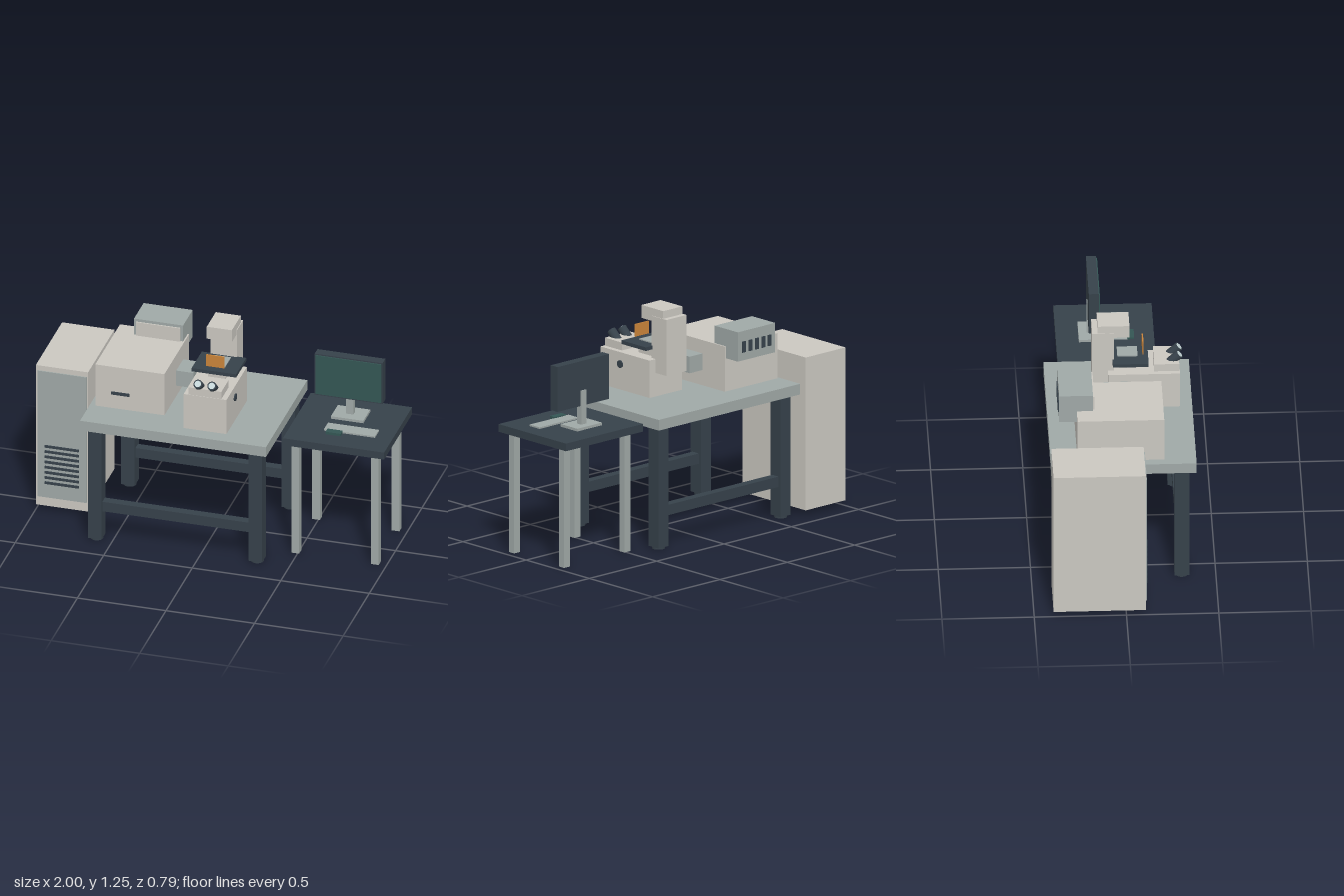
import * as THREE from 'three';

const mat = (name, color) => {
  const m = new THREE.MeshStandardMaterial({ color });
  m.name = name;
  return m;
};

export function createModel() {
  const model = new THREE.Group();
  model.name = 'microscopeWorkstation';
  const beige = mat('beige casing', 0xcac7c0);
  const grey = mat('grey metal', 0x9fa8a6);
  const dark = mat('dark slate', 0x36414a);
  const green = mat('dark green', 0x345654);
  const orange = mat('amber shield', 0xc9843a);
  const glass = mat('pale lens', 0xc6d6d8);

  const group = (name) => {
    const g = new THREE.Group();
    g.name = name;
    model.add(g);
    return g;
  };
  // Box given by its limits along each axis
  const box = (parent, name, m, [x0, x1], [y0, y1], [z0, z1]) => {
    const mesh = new THREE.Mesh(new THREE.BoxGeometry(x1 - x0, y1 - y0, z1 - z0), m);
    mesh.position.set((x0 + x1) / 2, (y0 + y1) / 2, (z0 + z1) / 2);
    mesh.name = name;
    parent.add(mesh);
    return mesh;
  };
  const cylinder = (parent, name, m, r, h, x, y, z) => {
    const mesh = new THREE.Mesh(new THREE.CylinderGeometry(r, r, h, 24), m);
    mesh.position.set(x, y, z);
    mesh.name = name;
    parent.add(mesh);
    return mesh;
  };

  // Tall cabinet with vented door
  const cabinet = group('cabinet');
  box(cabinet, 'cabinetBody', beige, [-1, -0.705], [0.03, 0.89], [-0.395, 0.105]);
  box(cabinet, 'cabinetDoor', grey, [-0.99, -0.712], [0.085, 0.86], [0.105, 0.111]);
  for (let i = 0; i < 8; i++) {
    const y = 0.17 + i * 0.032;
    box(cabinet, 'cabinetVent', dark, [-0.947, -0.755], [y, y + 0.014], [0.111, 0.117]);
  }

  // Heavy bench
  const bench = group('bench');
  box(bench, 'benchTop', grey, [-0.665, 0.385], [0.69, 0.75], [-0.394, 0.394]);
  for (const z of [-0.315, 0.315]) {
    for (const x of [-0.593, 0.313]) {
      box(bench, 'benchLeg', dark, [x - 0.038, x + 0.038], [0.012, 0.69], [z - 0.04, z + 0.04]);
      cylinder(bench, 'benchFoot', dark, 0.036, 0.012, x, 0.006, z);
    }
    box(bench, 'benchRail', dark, [-0.555, 0.275], [0.18, 0.238], [z - 0.025, z + 0.025]);
  }

  // Side table
  const table = group('sideTable');
  box(table, 'tableTop', dark, [0.428, 1], [0.677, 0.72], [-0.315, 0.218]);
  for (const x of [0.487, 0.936]) {
    for (const z of [0.16, -0.235]) {
      box(table, 'tableLeg', grey, [x - 0.022, x + 0.022], [0, 0.677], [z - 0.021, z + 0.021]);
    }
  }

  // Instrument housing and rear unit
  const scanner = group('scanUnit');
  box(scanner, 'scanHousing', beige, [-0.63, -0.24], [0.758, 1.012], [-0.25, 0.22]);
  box(scanner, 'scanSlot', dark, [-0.54, -0.438], [0.842, 0.86], [0.22, 0.224]);
  box(scanner, 'detectorBox', grey, [-0.525, -0.248], [0.945, 1.11], [-0.345, -0.162]);
  box(scanner, 'detectorFront', beige, [-0.512, -0.263], [0.96, 1.094], [-0.162, -0.154]);
  for (let i = 0; i < 5; i++) {
    const x = -0.482 + i * 0.048;
    box(scanner, 'detectorVent', dark, [x - 0.012, x + 0.012], [0.99, 1.052], [-0.351, -0.345]);
  }
  box(scanner, 'opticalCoupler', grey, [-0.226, -0.13], [0.85, 0.943], [-0.09, 0.042]);

  // Microscope body, stage and illumination arm
  const scope = group('microscope');
  box(scope, 'scopeBase', beige, [-0.1, 0.142], [0.758, 0.968], [-0.062, 0.327]);
  box(scope, 'eyepieceBlock', beige, [-0.072, 0.112], [0.968, 1.012], [0.188, 0.324]);
  box(scope, 'stageSupport', beige, [-0.03, 0.07], [0.968, 1.018], [0, 0.1]);
  box(scope, 'stage', dark, [-0.105, 0.146], [1.018, 1.038], [-0.037, 0.157]);
  box(scope, 'stageInsert', grey, [-0.026, 0.067], [1.038, 1.044], [-0.01, 0.1]);
  box(scope, 'lightShield', orange, [-0.03, 0.072], [1.05, 1.12], [0.126, 0.133]);
  box(scope, 'armColumn', beige, [-0.054, 0.096], [0.89, 1.205], [-0.147, -0.03]);
  box(scope, 'lampHead', beige, [-0.05, 0.092], [1.175, 1.248], [-0.117, 0.055]);
  cylinder(scope, 'focusKnob', dark, 0.021, 0.008, 0.145, 0.902, 0.168).rotation.z = Math.PI / 2;

  // Tilted eyepieces with lenses
  for (const x of [-0.019, 0.059]) {
    const eyepiece = new THREE.Group();
    eyepiece.name = 'eyepiece';
    eyepiece.position.set(x, 1.042, 0.327);
    eyepiece.rotation.x = 0.83;
    cylinder(eyepiece, 'eyepieceTube', dark, 0.025, 0.1, 0, -0.05, 0);
    cylinder(eyepiece, 'eyepieceLens', glass, 0.018, 0.003, 0, 0.0015, 0);
    scope.add(eyepiece);
  }

  // Monitor, keyboard and controller
  const desk = group('computer');
  box(desk, 'monitorCase', dark, [0.517, 0.9], [0.843, 1.095], [-0.142, -0.088]);
  box(desk, 'monitorScreen', green, [0.524, 0.893], [0.851, 1.088], [-0.088, -0.082]);
  box(desk, 'monitorStand', grey, [0.688, 0.728], [0.737, 0.93], [-0.147, -0.112]);
  box(desk, 'monitorFoot', grey, [0.617, 0.8], [0.724, 0.739], [-0.192, -0.06]);
  box(desk, 'keyboard', grey, [0.617, 0.905], [0.72, 0.729], [-0.075 + 0.07, 0.073]);
  box(desk, 'controlPad', green, [0.637, 0.722], [0.72, 0.735], [0.07, 0.109]);

  return model;
}
